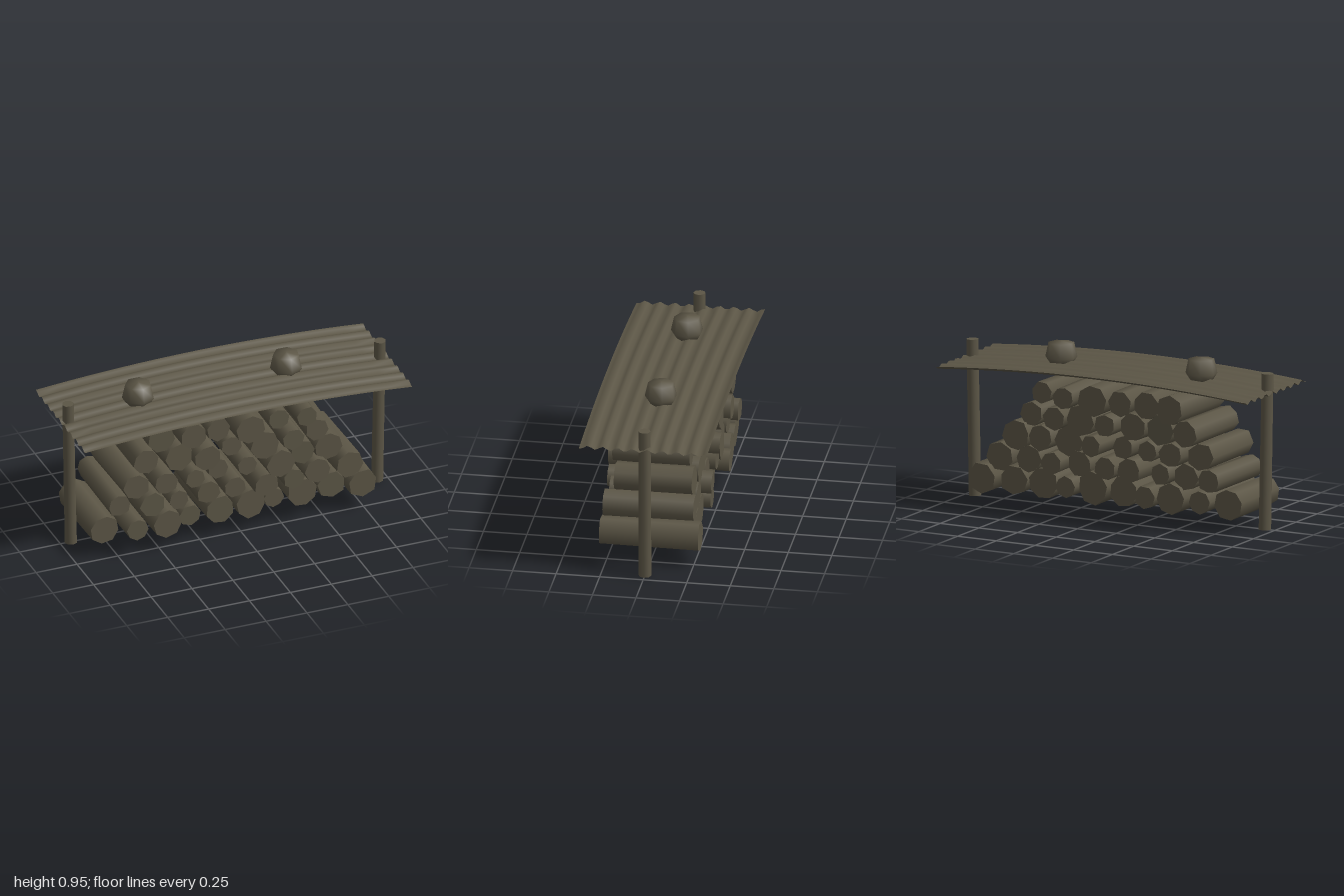
import * as THREE from 'three';

// Log pile rows: height, then [x, radius] for each log
const ROWS = [
  [0.175, [[-0.825, 0.09], [-0.65, 0.068], [-0.468, 0.09], [-0.313, 0.066], [-0.136, 0.09], [0.056, 0.094], [0.206, 0.064], [0.375, 0.096], [0.557, 0.086], [0.735, 0.09]]],
  [0.307, [[-0.725, 0.069], [-0.553, 0.079], [-0.388, 0.064], [-0.2, 0.072], [-0.04, 0.066], [0.136, 0.076], [0.297, 0.067], [0.463, 0.08], [0.65, 0.086]]],
  [0.43, [[-0.644, 0.084], [-0.468, 0.072], [-0.302, 0.062], [-0.131, 0.066], [0.035, 0.062], [0.217, 0.09], [0.388, 0.077], [0.548, 0.086]]],
  [0.56, [[-0.564, 0.081], [-0.382, 0.091], [-0.222, 0.082], [-0.05, 0.066], [0.126, 0.092], [0.297, 0.07], [0.468, 0.073]]],
  [0.692, [[-0.468, 0.088], [-0.297, 0.082], [-0.14, 0.077], [0.03, 0.092], [0.222, 0.063], [0.388, 0.066]]],
];
// z extent of the last log in each row
const END_LOGS = [[0.285, -0.285], [0.28, -0.24], [0.23, -0.22], [0.255, -0.19], [0.295, -0.215]];

function seeded(seed) {
  return () => (seed = (seed * 16807) % 2147483647) / 2147483647;
}

// Cylinder along z with an irregular outline
function logGeometry(radius, length, sides, rand) {
  const geo = new THREE.CylinderGeometry(radius * 0.97, radius, length, sides);
  const wobble = Array.from({ length: sides }, () => 0.93 + rand() * 0.13);
  const pos = geo.attributes.position;
  for (let i = 0; i < pos.count; i++) {
    const x = pos.getX(i), z = pos.getZ(i);
    const k = Math.round((Math.atan2(x, z) / (2 * Math.PI)) * sides + sides) % sides;
    pos.setX(i, x * wobble[k]);
    pos.setZ(i, z * wobble[k]);
  }
  return geo.rotateY(rand() * 6.28).rotateX(Math.PI / 2);
}

export function createModel() {
  const group = new THREE.Group();
  const wood = new THREE.MeshStandardMaterial({ color: 0x5c5646, side: THREE.DoubleSide });
  wood.name = 'weathered olive brown';
  const rand = seeded(4711);
  const add = (name, geo, parent = group) => {
    const mesh = new THREE.Mesh(geo, wood);
    mesh.name = name;
    parent.add(mesh);
    return mesh;
  };

  // Stacked logs
  const pile = new THREE.Group();
  pile.name = 'logPile';
  group.add(pile);
  ROWS.forEach(([y, logs], row) => logs.forEach(([x, r], i) => {
    let front = 0.27 + (rand() - 0.5) * 0.1;
    let back = -0.25 + (rand() - 0.5) * 0.08;
    if (i === logs.length - 1) [front, back] = END_LOGS[row];
    const log = add('log', logGeometry(r, front - back, 7 + Math.floor(rand() * 2), rand), pile);
    log.position.set(x, y, (front + back) / 2);
    log.rotation.set((rand() - 0.5) * 0.03, (rand() - 0.5) * 0.04, 0);
  }));

  // Slightly splayed posts
  for (const side of [1, -1]) {
    const post = add(side > 0 ? 'leftPost' : 'rightPost', new THREE.CylinderGeometry(0.035, 0.037, 0.905, 8));
    post.position.set(side * 0.945, 0.4535, 0);
    post.rotation.z = -side * 0.019;
  }

  // Corrugated sheet, sagging towards both ends
  const sheet = new THREE.PlaneGeometry(2, 0.74, 16, 32).rotateX(-Math.PI / 2);
  const pos = sheet.attributes.position;
  for (let i = 0; i < pos.count; i++) {
    const x = pos.getX(i), z = pos.getZ(i);
    const wave = Math.cos((2 * Math.PI * (z + 0.107)) / 0.0852);
    pos.setY(i, 0.844 - 0.044 * x * x + 0.011 * wave);
  }
  sheet.computeVertexNormals();
  add('corrugatedRoof', sheet);

  // Stones weighing the sheet down
  const profile = [[0, 0.812], [0.068, 0.822], [0.093, 0.862], [0.075, 0.945], [0, 0.955]]
    .map(([r, y]) => new THREE.Vector2(r, y));
  for (const x of [-0.525, 0.38]) add('roofStone', new THREE.LatheGeometry(profile, 7)).position.x = x;

  return group;
}
